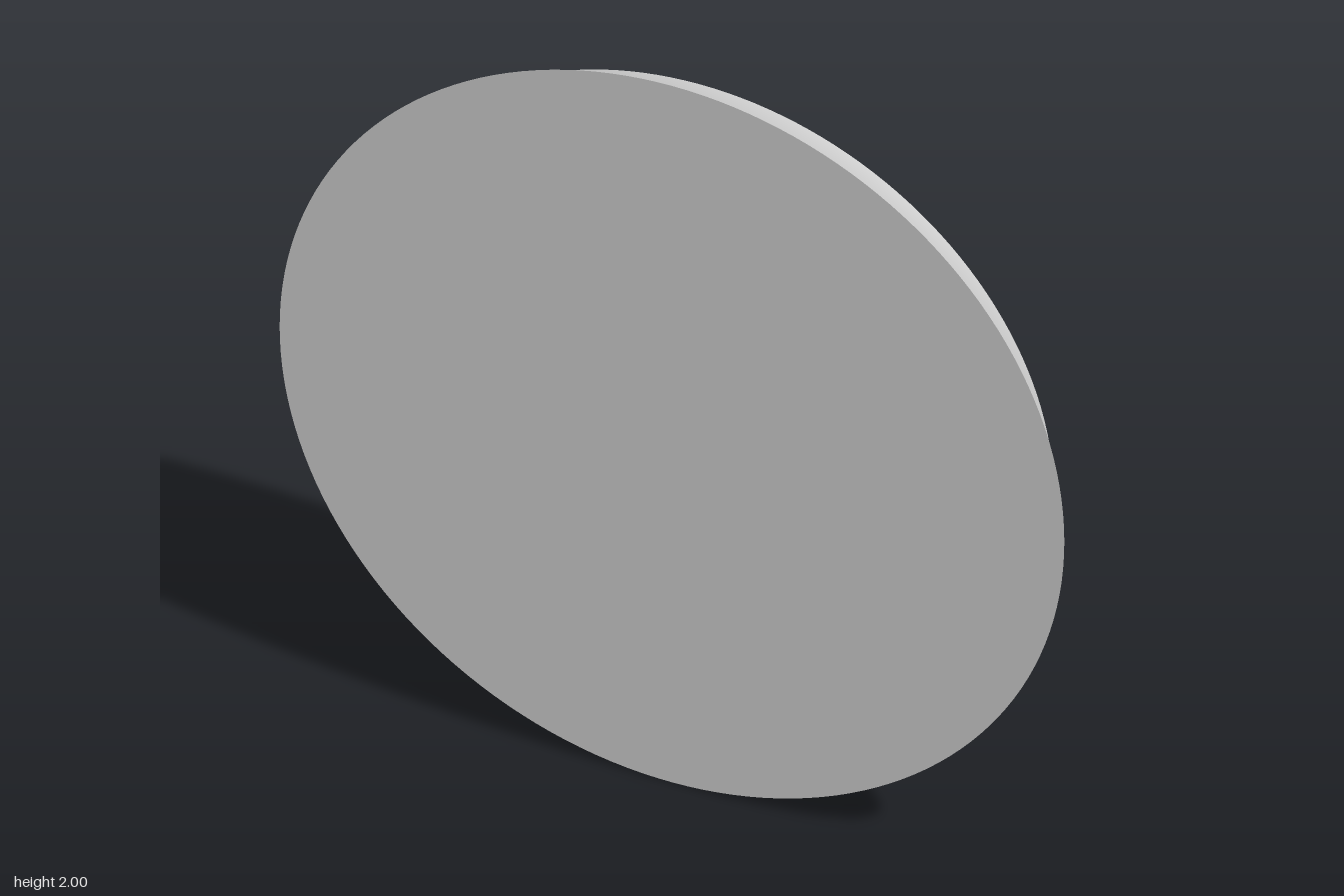
import * as THREE from 'three';
import { toCreasedNormals } from 'three/addons/utils/BufferGeometryUtils.js';

export function createModel() {
  const group = new THREE.Group();
  const material = new THREE.MeshStandardMaterial({ color: 0xcccccc });

  // Disc: short cylindrical back that flares to a wide front face
  const profile = [[0, -0.075], [0.905, -0.075], [0.905, -0.02], [1, 0.075], [0, 0.075]]
    .map(([r, z]) => new THREE.Vector2(r, z));
  const discGeometry = new THREE.LatheGeometry(profile, 160).rotateX(Math.PI / 2);
  const disc = new THREE.Mesh(toCreasedNormals(discGeometry, Math.PI / 3), material);
  disc.name = 'disc';
  disc.position.y = 1;
  group.add(disc);

  // Three slanted half-round pegs breaking through the rim near the back
  const slant = Math.atan2(0.53, 0.85);
  const c = Math.cos(slant), s = Math.sin(slant);
  const tilt = new THREE.Matrix4().makeBasis(
    new THREE.Vector3(c, 0, s),
    new THREE.Vector3(s, 0, -c),
    new THREE.Vector3(0, 1, 0)
  ).setPosition(0.892, 0, -0.0745);
  const pegGeometry = new THREE.CylinderGeometry(0.048, 0.048, 0.1, 24, 1, false, 0, Math.PI)
    .translate(0, -0.05, 0)
    .applyMatrix4(tilt);
  for (let i = 0; i < 3; i++) {
    const peg = new THREE.Mesh(pegGeometry, material);
    peg.name = 'rimPeg' + (i + 1);
    peg.position.y = 1;
    peg.rotation.z = (i * Math.PI * 2) / 3;
    group.add(peg);
  }
  return group;
}
